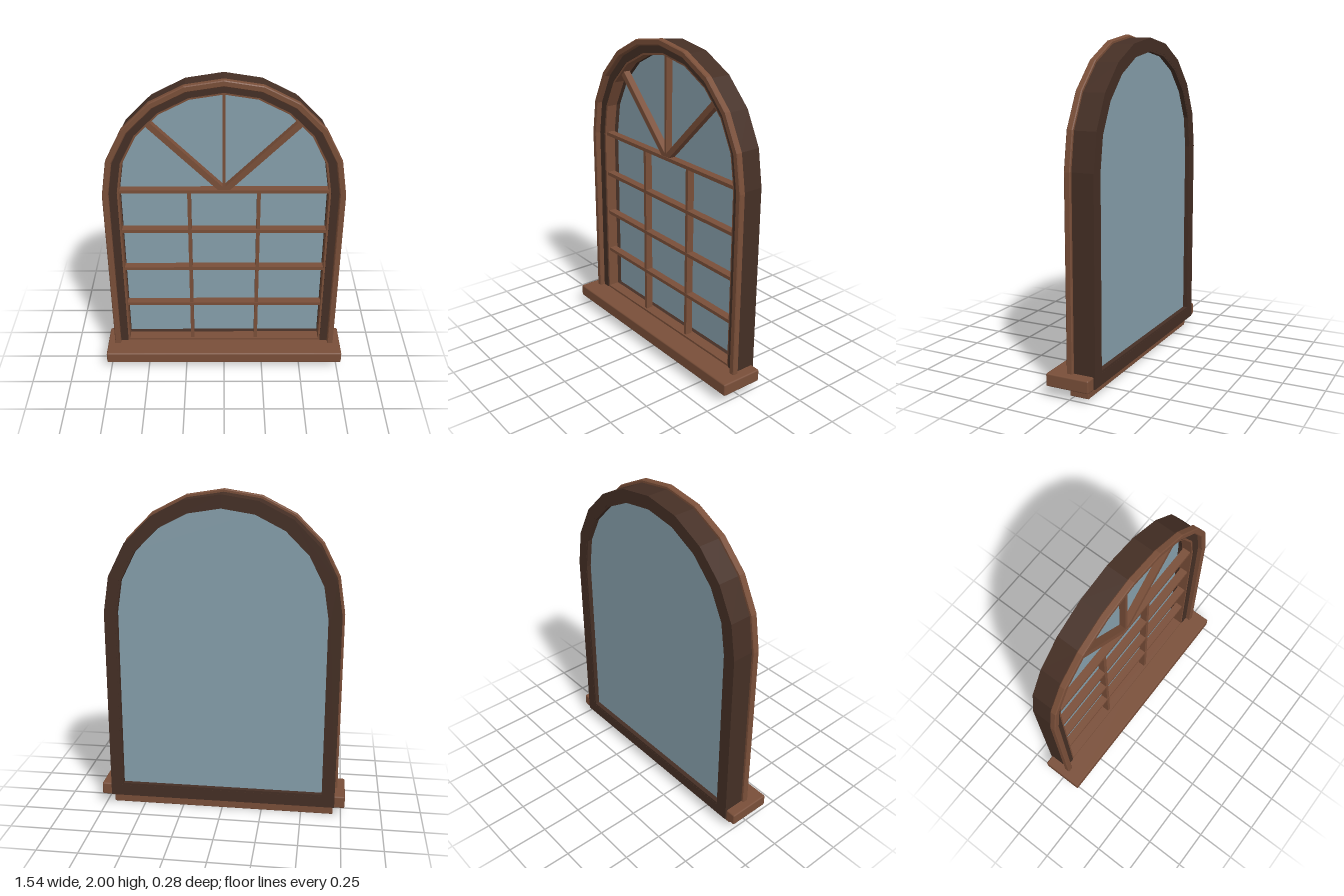
import * as THREE from 'three';
import { RoundedBoxGeometry } from 'three/addons/geometries/RoundedBoxGeometry.js';

const SPRING = 1.275; // height where the arch begins
const SEGMENTS = 10;

export function createModel() {
  const model = new THREE.Group();
  model.name = 'archedWindow';

  const wood = new THREE.MeshStandardMaterial({ color: 0x7a4f39 });
  wood.name = 'brown wood';
  const darkWood = new THREE.MeshStandardMaterial({ color: 0x452f25 });
  darkWood.name = 'dark wood';
  const glass = new THREE.MeshStandardMaterial({ color: 0x869fab });
  glass.name = 'blue grey glass';

  const add = (name, geometry, material, x = 0, y = 0, z = 0) => {
    const mesh = new THREE.Mesh(geometry, material);
    mesh.name = name;
    mesh.position.set(x, y, z);
    model.add(mesh);
    return mesh;
  };

  // Outline with straight sides and a faceted round head
  const archPoints = (radius, bottom) => {
    const points = [new THREE.Vector2(-radius, bottom), new THREE.Vector2(radius, bottom)];
    for (let i = 0; i <= SEGMENTS; i++) {
      const a = (i / SEGMENTS) * Math.PI;
      points.push(new THREE.Vector2(radius * Math.cos(a), SPRING + radius * Math.sin(a)));
    }
    return points;
  };

  // Arched ring between two outlines, from zBack to zFront
  const archRing = (outer, outerBottom, inner, innerBottom, zBack, zFront, bevel = 0) => {
    const shape = new THREE.Shape(archPoints(outer - bevel, outerBottom + bevel));
    shape.holes.push(new THREE.Path(archPoints(inner + bevel, innerBottom - bevel)));
    const geometry = new THREE.ExtrudeGeometry(shape, {
      depth: zFront - zBack - 2 * bevel,
      bevelEnabled: bevel > 0,
      bevelThickness: bevel,
      bevelSize: bevel,
      bevelSegments: 1,
    });
    return geometry.translate(0, 0, zBack + bevel);
  };

  // Casing, deep frame and thin inner sash
  add('casing', archRing(0.725, 0.055, 0.688, 0.1, -0.006, 0.033, 0.005), wood);
  add('frame', archRing(0.708, 0.07, 0.64, 0.14, -0.14, 0), darkWood);
  add('sash', archRing(0.641, 0.139, 0.628, 0.154, -0.075, -0.004), wood);
  add('sashBack', archRing(0.641, 0.139, 0.628, 0.154, -0.139, -0.075), darkWood);

  // Glass pane
  const pane = new THREE.ExtrudeGeometry(new THREE.Shape(archPoints(0.634, 0.148)), {
    depth: 0.008,
    bevelEnabled: false,
  });
  add('glassPane', pane, glass, 0, 0, -0.11);

  // Glazing bars
  const BAR = 0.022, DEPTH = 0.05, BAR_Z = -0.04;
  for (const y of [0.435, 0.715, 0.995, SPRING]) {
    add('horizontalBar', new THREE.BoxGeometry(1.262, BAR, DEPTH), wood, 0, y, BAR_Z);
  }
  for (const x of [-0.21, 0.21]) {
    add('verticalBar', new THREE.BoxGeometry(BAR, SPRING - 0.15, DEPTH - 0.004), wood,
      x, (SPRING + 0.15) / 2, BAR_Z);
  }

  // Fan bars radiating from the middle of the arch
  for (const angle of [-Math.PI / 4, 0, Math.PI / 4]) {
    const width = angle === 0 ? 0.018 : 0.036;
    const bar = new THREE.BoxGeometry(width, 0.62, DEPTH - 0.006);
    bar.translate(0, 0.315, 0);
    add('fanBar', bar, wood, 0, SPRING, BAR_Z).rotation.z = angle;
  }

  // Sill and the apron below it
  add('sill', new RoundedBoxGeometry(1.544, 0.077, 0.27, 1, 0.009), wood, 0, 0.1025, 0.005);
  add('apron', new RoundedBoxGeometry(1.4, 0.08, 0.118, 1, 0.005), wood, 0, 0.04, -0.034);

  return model;
}
